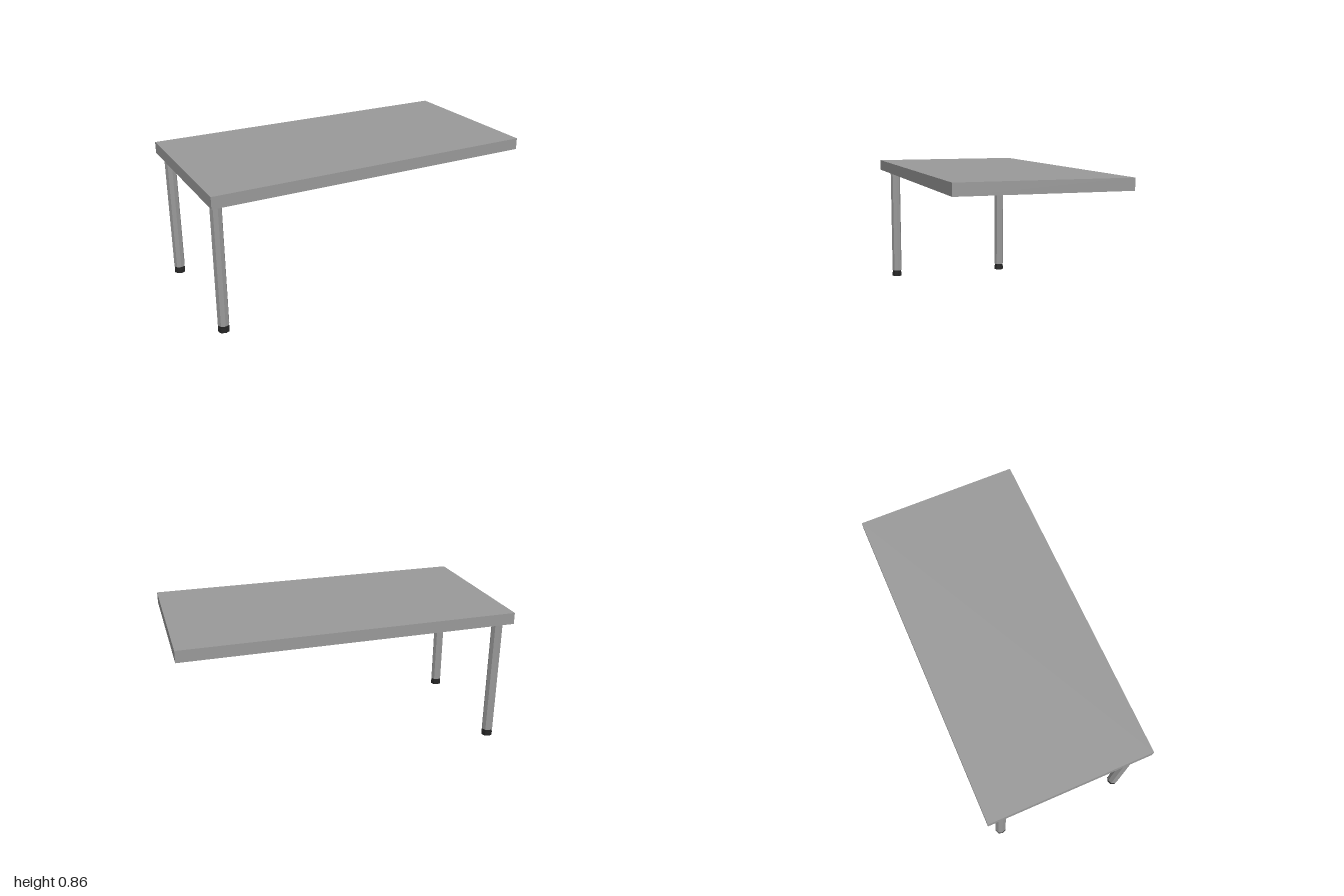
import * as THREE from 'three';

export function createModel() {
  const group = new THREE.Group();
  const grey = new THREE.MeshStandardMaterial({ color: 0x999999 });
  grey.name = 'grey';
  grey.flatShading = true;
  const black = new THREE.MeshStandardMaterial({ color: 0x262626 });
  black.name = 'black';
  black.flatShading = true;

  const add = (parent, name, geometry, material, y) => {
    const mesh = new THREE.Mesh(geometry, material);
    mesh.name = name;
    mesh.position.y = y;
    parent.add(mesh);
  };
  // Eight-sided post standing between two heights
  const post = (radius, bottom, top) => new THREE.CylinderGeometry(radius, radius, top - bottom, 8);

  // Table top
  add(group, 'tableTop', new THREE.BoxGeometry(2, 0.07, 1), grey, 0.825);

  // Two legs at the right end, each with a stepped foot
  for (const side of [1, -1]) {
    const leg = new THREE.Group();
    leg.name = side > 0 ? 'frontLeg' : 'backLeg';
    leg.position.set(-0.945, 0, side * 0.402);
    add(leg, 'legPost', post(0.034, 0.042, 0.79), grey, 0.416);
    add(leg, 'footNeck', post(0.03, 0.025, 0.042), black, 0.0335);
    add(leg, 'footPad', post(0.034, 0, 0.025), black, 0.0125);
    group.add(leg);
  }
  return group;
}
